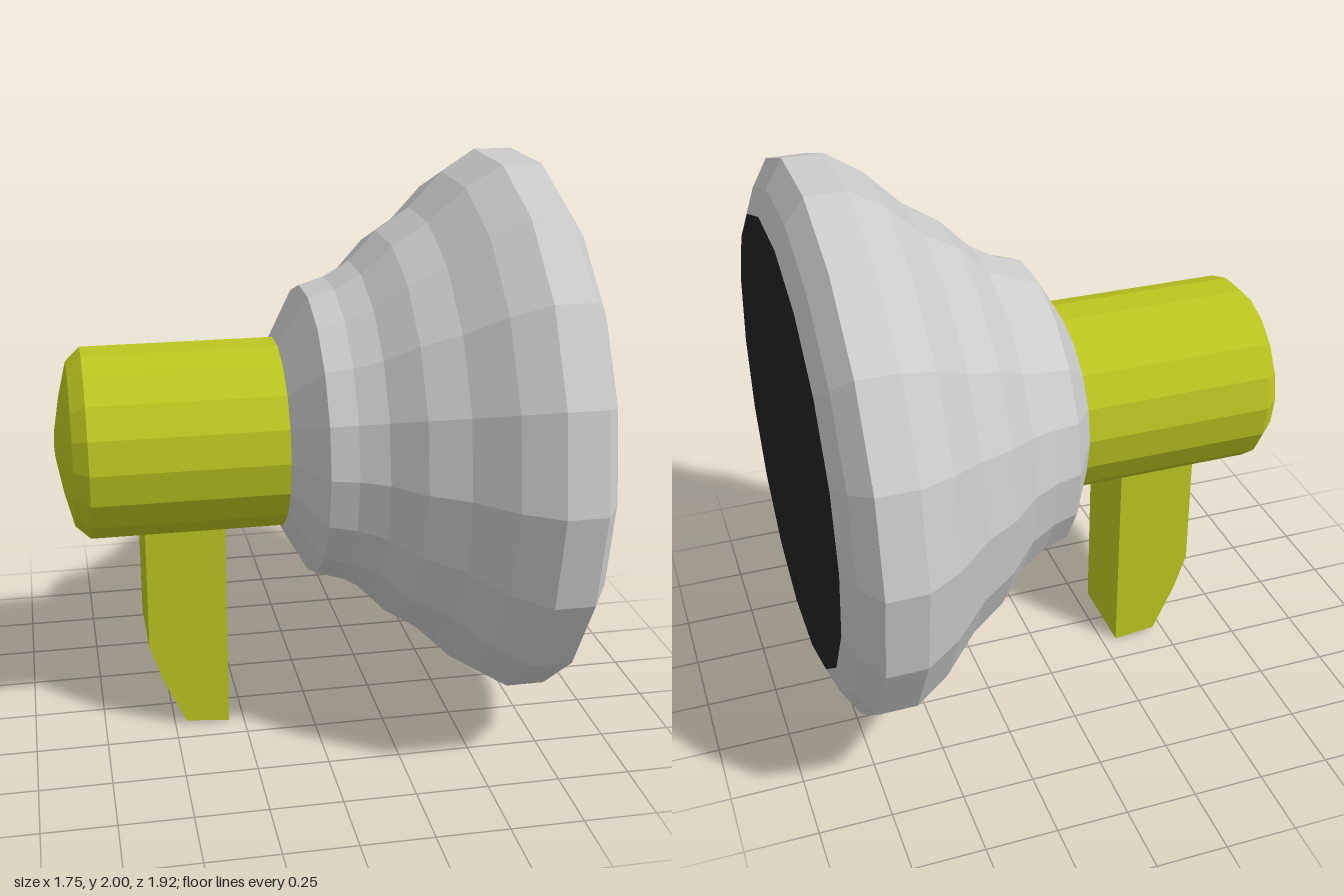
import * as THREE from 'three';

const SIDES = 18;
const AXIS_Y = 1.055;

const material = (color) => new THREE.MeshStandardMaterial({ color, flatShading: true });

// Turned part along the x axis; profile is a list of [x, radius]
function turned(name, profile, mat) {
  const points = profile.map(([x, r]) => new THREE.Vector2(r, x));
  const geometry = new THREE.LatheGeometry(points, SIDES);
  geometry.rotateZ(-Math.PI / 2);
  const mesh = new THREE.Mesh(geometry, mat);
  mesh.name = name;
  mesh.position.y = AXIS_Y;
  return mesh;
}

export function createModel() {
  const model = new THREE.Group();
  model.name = 'megaphone';
  const grey = material(0xcccccc);
  const yellow = material(0xbcc520);
  const black = material(0x222222);

  // Rear body with a domed end cap
  model.add(turned('body', [
    [-0.875, 0], [-0.873, 0.04], [-0.85, 0.17], [-0.82, 0.288],
    [-0.77, 0.335], [-0.1, 0.335],
  ], yellow));

  // Flared horn with a bevelled rim
  model.add(turned('horn', [
    [-0.1, 0.335], [0, 0.512], [0.09, 0.538], [0.18, 0.588], [0.28, 0.69],
    [0.4, 0.766], [0.52, 0.885], [0.64, 0.96], [0.775, 0.96],
    [0.835, 0.868], [0.87, 0.782],
  ], grey));

  // Flat dark disc closing the horn
  model.add(turned('mouth', [[0.87, 0.782], [0.87, 0]], black));

  // Grip, tapered at its lower rear edge
  const outline = [
    [-0.585, 0.8], [-0.585, 0.325], [-0.54, 0.19], [-0.46, 0.015],
    [-0.305, 0], [-0.305, 0.8],
  ].map(([x, y]) => new THREE.Vector2(x, y));
  const gripGeometry = new THREE.ExtrudeGeometry(new THREE.Shape(outline), {
    depth: 0.3, bevelEnabled: false,
  });
  const grip = new THREE.Mesh(gripGeometry, yellow);
  grip.name = 'grip';
  grip.position.z = -0.14;
  model.add(grip);

  return model;
}
